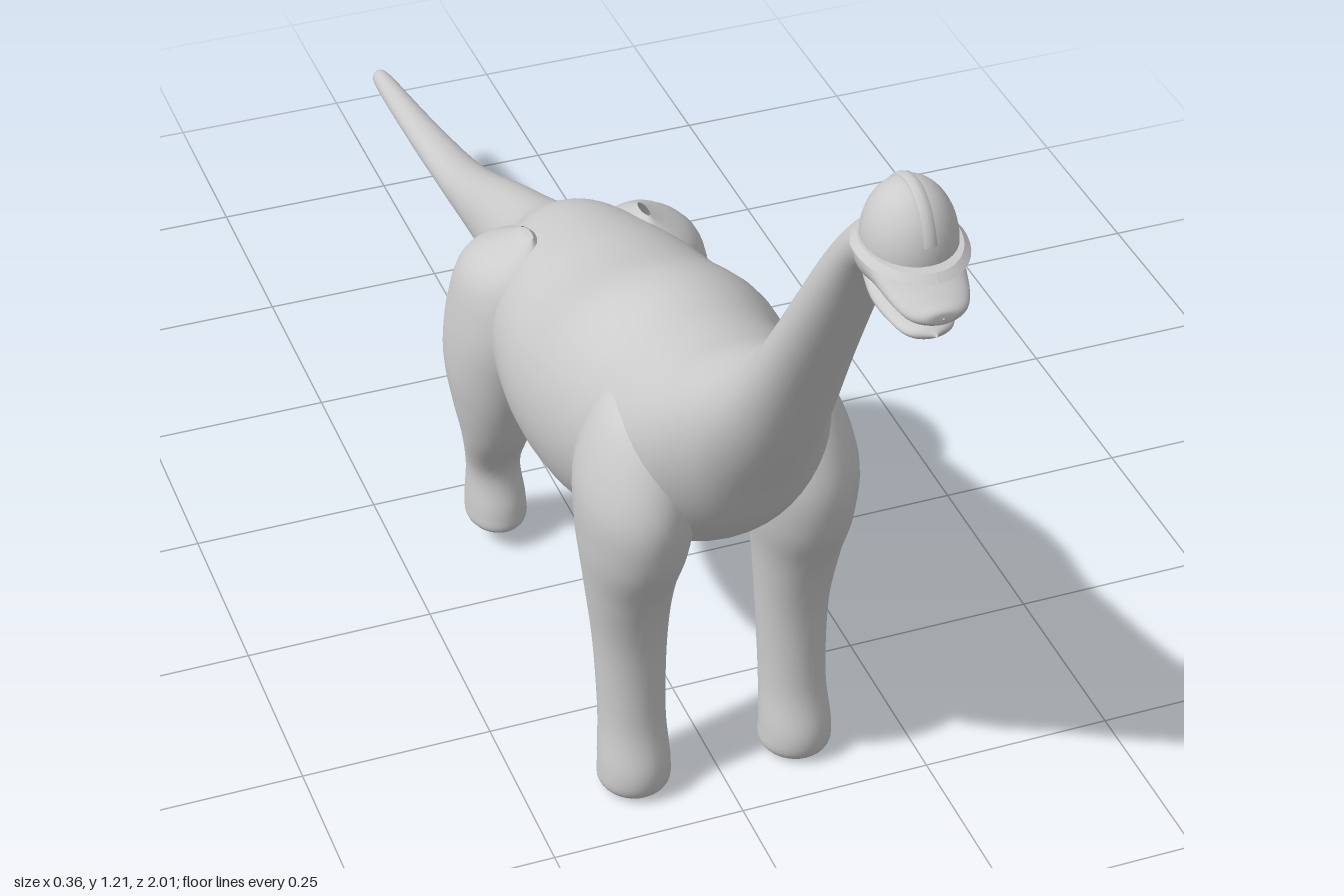
import * as THREE from 'three';

const material = new THREE.MeshStandardMaterial({ color: 0xcccccc, side: THREE.DoubleSide });

function part(name, geometry) {
  const mesh = new THREE.Mesh(geometry, material);
  mesh.name = name;
  return mesh;
}

// Smooth skin through oval sections: [az, ay, bz, by, halfWidth, centreX],
// where a and b are opposite ends of the oval in the side plane.
function loft(sections, steps = 6, sides = 32) {
  const curveA = new THREE.CatmullRomCurve3(
    sections.map(([az, ay, , , w]) => new THREE.Vector3(w, ay, az)), false, 'catmullrom');
  const curveB = new THREE.CatmullRomCurve3(
    sections.map(([, , bz, by, , x = 0]) => new THREE.Vector3(x, by, bz)), false, 'catmullrom');
  const rows = (sections.length - 1) * steps;
  const position = [], index = [];
  for (let j = 0; j <= rows; j++) {
    const a = curveA.getPoint(j / rows), b = curveB.getPoint(j / rows);
    for (let i = 0; i < sides; i++) {
      const t = (i / sides) * Math.PI * 2, k = (1 + Math.cos(t)) / 2;
      position.push(b.x + a.x * Math.sin(t), b.y + (a.y - b.y) * k, b.z + (a.z - b.z) * k);
      if (j === rows) continue;
      const p = j * sides + i, q = j * sides + (i + 1) % sides;
      index.push(p, q, p + sides, q, q + sides, p + sides);
    }
  }
  const g = new THREE.BufferGeometry();
  g.setAttribute('position', new THREE.Float32BufferAttribute(position, 3));
  g.setIndex(index);
  g.computeVertexNormals();
  return g;
}

// Tail tip to top of neck
const bodySections = [
  [-1.0, 0.199, -1.0, 0.197, 0.001], [-0.99, 0.212, -0.99, 0.185, 0.013],
  [-0.8, 0.245, -0.8, 0.205, 0.024], [-0.6, 0.292, -0.6, 0.232, 0.035],
  [-0.4, 0.38, -0.4, 0.255, 0.05], [-0.24, 0.45, -0.24, 0.266, 0.07],
  [-0.15, 0.51, -0.15, 0.27, 0.105], [-0.04, 0.545, -0.04, 0.265, 0.145],
  [0.08, 0.58, 0.08, 0.252, 0.165], [0.2, 0.63, 0.2, 0.262, 0.168],
  [0.3, 0.642, 0.3, 0.3, 0.152], [0.4, 0.67, 0.38, 0.345, 0.14],
  [0.47, 0.705, 0.45, 0.4, 0.118], [0.54, 0.75, 0.51, 0.465, 0.088],
  [0.6, 0.805, 0.555, 0.545, 0.068], [0.65, 0.88, 0.62, 0.655, 0.056],
  [0.7, 0.955, 0.69, 0.79, 0.048], [0.77, 1.055, 0.775, 0.945, 0.04],
  [0.84, 1.125, 0.835, 1.045, 0.036], [0.9, 1.14, 0.89, 1.06, 0.036],
];

const skullSections = [
  [0.835, 1.1, 0.835, 1.08, 0.006], [0.85, 1.13, 0.845, 1.062, 0.034],
  [0.885, 1.15, 0.875, 1.06, 0.047], [0.93, 1.14, 0.925, 1.08, 0.05],
  [0.96, 1.118, 0.96, 1.084, 0.045], [0.985, 1.106, 0.985, 1.08, 0.035],
  [0.998, 1.1, 0.998, 1.083, 0.02], [1.0, 1.092, 1.0, 1.09, 0.001],
];

const jawSections = [
  [0.85, 1.09, 0.85, 1.06, 0.03], [0.9, 1.082, 0.905, 1.05, 0.039],
  [0.945, 1.07, 0.945, 1.049, 0.034], [0.972, 1.068, 0.972, 1.05, 0.025],
  [0.985, 1.062, 0.985, 1.058, 0.002],
];

// Shoulder or hip down to the sole
const frontLegSections = [
  [0.4, 0.6, 0.37, 0.6, 0.005, 0.08], [0.455, 0.56, 0.31, 0.57, 0.05, 0.09],
  [0.49, 0.47, 0.285, 0.49, 0.07, 0.104], [0.48, 0.39, 0.295, 0.4, 0.067, 0.108],
  [0.445, 0.31, 0.32, 0.32, 0.056, 0.11], [0.425, 0.22, 0.335, 0.22, 0.047, 0.108],
  [0.43, 0.11, 0.345, 0.11, 0.043, 0.108], [0.449, 0.04, 0.35, 0.04, 0.046, 0.109],
  [0.44, 0.005, 0.355, 0.01, 0.042, 0.109], [0.4, 0, 0.395, 0.002, 0.002, 0.109],
];

const hindLegSections = [
  [-0.06, 0.525, -0.1, 0.52, 0.005, 0.08], [-0.015, 0.48, -0.18, 0.465, 0.06, 0.094],
  [0, 0.4, -0.212, 0.39, 0.075, 0.1], [-0.025, 0.31, -0.205, 0.32, 0.069, 0.112],
  [-0.045, 0.25, -0.182, 0.25, 0.056, 0.117], [-0.07, 0.19, -0.165, 0.19, 0.046, 0.115],
  [-0.108, 0.12, -0.175, 0.12, 0.037, 0.112], [-0.094, 0.06, -0.187, 0.06, 0.041, 0.11],
  [-0.095, 0.03, -0.182, 0.036, 0.037, 0.11], [-0.135, 0.026, -0.14, 0.028, 0.002, 0.11],
];

const mirrored = (sections) => sections.map(([az, ay, bz, by, w, x]) => [az, ay, bz, by, w, -x]);

function createHelmet() {
  const helmet = new THREE.Group();
  helmet.name = 'helmet';
  helmet.position.set(0, 1.132, 0.907);

  const dome = part('helmetDome', new THREE.SphereGeometry(1, 32, 12, 0, Math.PI * 2, 0, Math.PI / 2));
  dome.scale.set(0.051, 0.071, 0.057);

  // Brim, longer and dipping slightly at the front
  const brimGeometry = new THREE.CylinderGeometry(0.054, 0.061, 0.007, 40);
  const p = brimGeometry.attributes.position;
  for (let i = 0; i < p.count; i++) {
    const z = p.getZ(i);
    if (z > 0) p.setXYZ(i, p.getX(i), p.getY(i) - z * 0.05, z * 1.28);
  }
  brimGeometry.computeVertexNormals();
  const brim = part('helmetBrim', brimGeometry);

  // Raised crest running front to back
  const crest = part('helmetCrest', new THREE.TorusGeometry(1, 0.07, 8, 32, Math.PI * 0.8));
  crest.geometry.rotateZ(Math.PI * 0.1).rotateY(Math.PI / 2).scale(0.12, 0.069, 0.055);

  helmet.add(dome, brim, crest);
  return helmet;
}

export function createModel() {
  const model = new THREE.Group();
  model.name = 'longNeckedDinosaur';

  const head = new THREE.Group();
  head.name = 'head';
  head.add(part('skull', loft(skullSections)), part('lowerJaw', loft(jawSections)), createHelmet());

  model.add(
    part('bodyNeckAndTail', loft(bodySections, 6, 40)),
    head,
    part('leftFrontLeg', loft(frontLegSections)),
    part('rightFrontLeg', loft(mirrored(frontLegSections))),
    part('leftHindLeg', loft(hindLegSections)),
    part('rightHindLeg', loft(mirrored(hindLegSections))),
  );
  return model;
}
